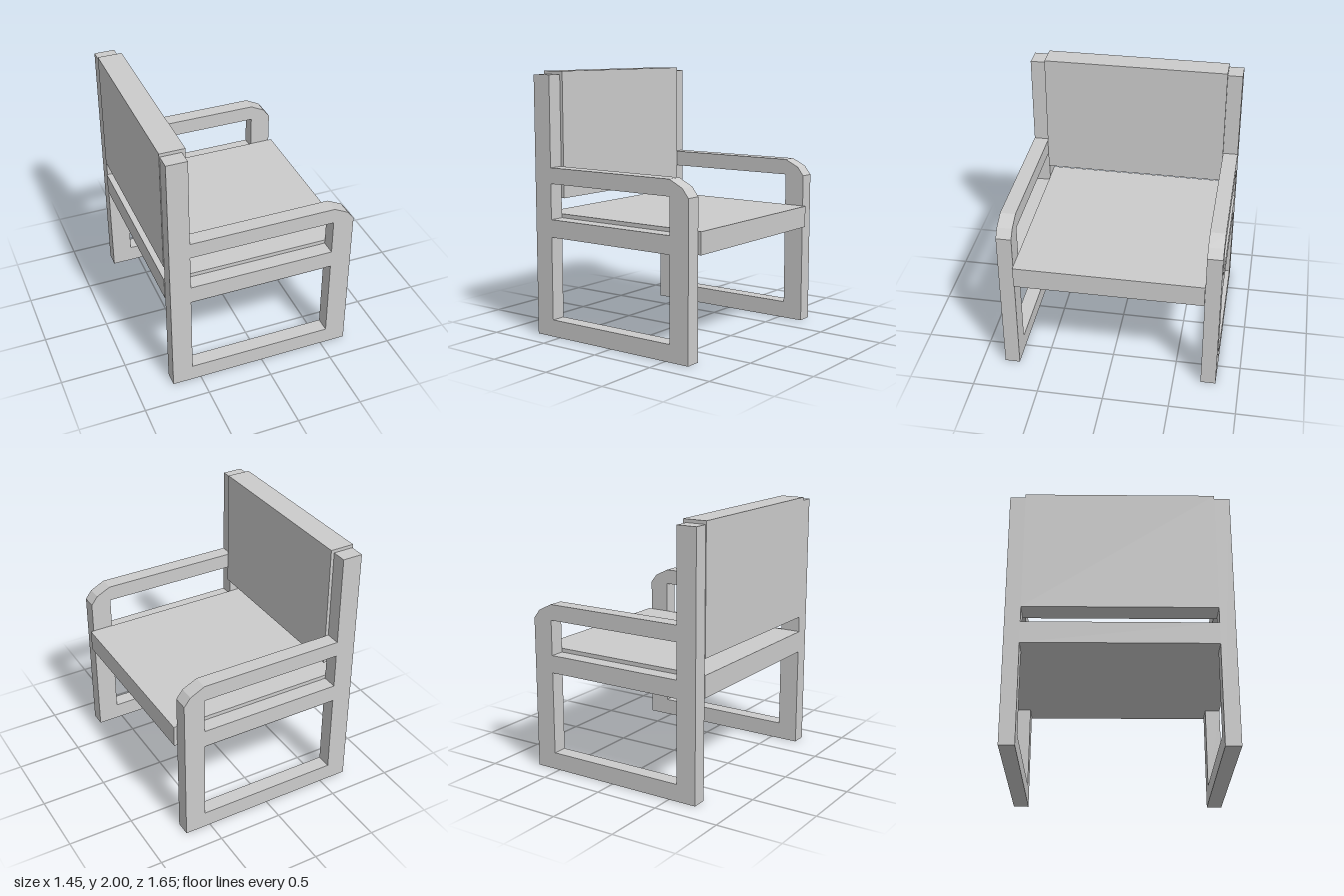
import * as THREE from 'three';

const material = new THREE.MeshStandardMaterial({ color: 0xcccccc, flatShading: true });

const BACK = -0.72, FRONT = 0.70;          // outer x of the side frames
const INNER_BACK = -0.565, INNER_FRONT = 0.54;
const FRAME_IN = 0.71, FRAME_OUT = 0.825;  // z range of a side frame

function rectHole(x0, y0, x1, y1) {
  return new THREE.Path([[x0, y0], [x0, y1], [x1, y1], [x1, y0]].map(p => new THREE.Vector2(...p)));
}

function boxPart(name, x0, x1, y0, y1, z) {
  const mesh = new THREE.Mesh(new THREE.BoxGeometry(x1 - x0, y1 - y0, z * 2), material);
  mesh.position.set((x0 + x1) / 2, (y0 + y1) / 2, 0);
  mesh.name = name;
  return mesh;
}

export function createModel() {
  const chair = new THREE.Group();
  chair.name = 'armchair';

  // Side frame: tall back post, arm with a faceted front corner, mid and floor rails
  const outline = new THREE.Shape([
    [BACK, 0], [FRONT, 0], [FRONT, 1.17], [0.65, 1.235], [INNER_FRONT, 1.29],
    [INNER_BACK, 1.29], [INNER_BACK, 1.975], [BACK, 1.975],
  ].map(p => new THREE.Vector2(...p)));
  outline.holes.push(
    rectHole(INNER_BACK, 0.13, INNER_FRONT, 0.765), // below the seat
    rectHole(INNER_BACK, 0.90, INNER_FRONT, 1.17),  // below the arm
  );
  const frameGeometry = new THREE.ExtrudeGeometry(outline, {
    depth: FRAME_OUT - FRAME_IN, bevelEnabled: false,
  });
  for (const [name, z] of [['nearSideFrame', FRAME_IN], ['farSideFrame', -FRAME_OUT]]) {
    const frame = new THREE.Mesh(frameGeometry, material);
    frame.position.z = z;
    frame.name = name;
    chair.add(frame);
  }

  // Seat slab and upright back panel between the frames
  chair.add(boxPart('seat', -0.725, 0.725, 0.765, 0.93, 0.71));
  chair.add(boxPart('backrest', -0.725, -0.54, 1.05, 2, 0.71));

  return chair;
}
